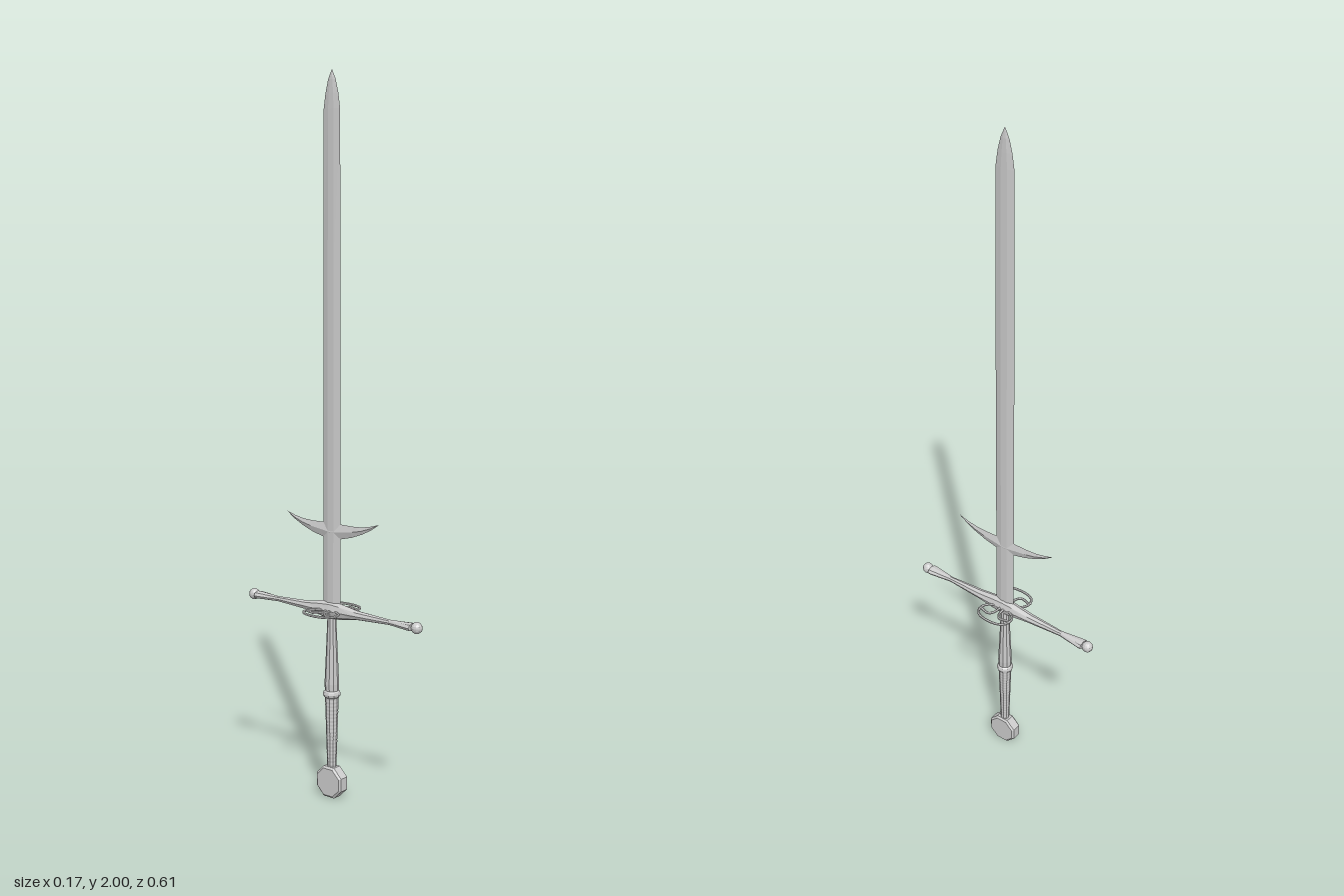
import * as THREE from 'three';

const material = new THREE.MeshStandardMaterial({ color: 0xcccccc, flatShading: true });
const GUARD_Y = 0.54;

// Skins a closed profile of [x, z] along y; each row is [y, scaleX, scaleZ, offsetZ]
function loft(profile, rows) {
  const n = profile.length, pos = [], index = [];
  for (const [y, sx, sz, oz = 0] of rows)
    for (const [px, pz] of profile) pos.push(px * sx, y, pz * sz + oz);
  for (let i = 0; i < rows.length - 1; i++)
    for (let j = 0; j < n; j++) {
      const a = i * n + j, b = i * n + (j + 1) % n;
      index.push(a, a + n, b, b, a + n, b + n);
    }
  const top = (rows.length - 1) * n;
  for (let j = 1; j < n - 1; j++) index.push(0, j, j + 1, top, top + j + 1, top + j);
  const g = new THREE.BufferGeometry();
  g.setAttribute('position', new THREE.Float32BufferAttribute(pos, 3));
  g.setIndex(index);
  const flat = g.toNonIndexed();
  flat.computeVertexNormals();
  return flat;
}

// Mirrors rows given from the middle outward into a full symmetric run
const symmetric = (half) => [
  ...half.slice().reverse().filter((r) => r[0] > 0).map(([p, ...rest]) => [-p, ...rest]),
  ...half,
];

const polygon = (n, turn = 0) => Array.from({ length: n }, (_, i) => {
  const a = ((i + turn) / n) * Math.PI * 2;
  return [Math.cos(a), Math.sin(a)];
});

export function createModel() {
  const group = new THREE.Group();
  const add = (name, geometry, parent = group) => {
    const mesh = new THREE.Mesh(geometry, material);
    mesh.name = name;
    parent.add(mesh);
    return mesh;
  };

  // Blade: flat-faced hexagonal section, curving in to the point
  const bladeProfile = [[1, 0.33], [0, 1], [-1, 0.33], [-1, -0.33], [0, -1], [1, -0.33]];
  add('blade', loft(bladeProfile, [
    [0.53, 0.0065, 0.031], [1.5, 0.0055, 0.03], [1.9, 0.0045, 0.028],
    [1.94, 0.004, 0.022], [1.975, 0.003, 0.013], [2, 0.0004, 0.001],
  ]));

  // Parrying hooks: a thin crescent through the blade
  const hooks = [
    [0, 0.007, 0.736, 0.786], [0.03, 0.006, 0.744, 0.786], [0.07, 0.0045, 0.754, 0.785],
    [0.105, 0.0035, 0.767, 0.787], [0.135, 0.0025, 0.782, 0.793], [0.162, 0.0004, 0.8, 0.801],
  ].map(([z, w, low, high]) => [z, w, (high - low) / 2, -(high + low) / 2]);
  add('parryingHooks', loft(polygon(4), symmetric(hooks))).rotation.x = Math.PI / 2;

  // Crossguard: swollen middle, waisted arms and flared ends
  const guard = new THREE.Group();
  guard.name = 'crossguard';
  guard.position.y = GUARD_Y;
  group.add(guard);
  add('guardArms', loft(polygon(8), symmetric([
    [0, 0.019, 0.026], [0.03, 0.018, 0.023], [0.09, 0.015, 0.013], [0.2, 0.008, 0.0075],
    [0.27, 0.019, 0.011], [0.277, 0.019, 0.011],
  ])), guard).rotation.x = Math.PI / 2;

  for (const s of [1, -1]) {
    const ball = add('guardBall', new THREE.SphereGeometry(0.016, 12, 8), guard);
    ball.position.z = s * 0.291;
  }

  // Side rings with two inward scrolls on each face of the guard
  const tube = (points, steps) => new THREE.TubeGeometry(new THREE.CatmullRomCurve3(
    points.map(([x, z]) => new THREE.Vector3(x, 0, z))), steps, 0.0038, 6, false);
  const arc = [[0.014, 0.02], [0.022, 0.04], [0.036, 0.051], [0.052, 0.053],
    [0.07, 0.044], [0.08, 0.022]];
  const ring = [...arc, ...arc.slice().reverse().map(([x, z]) => [x, -z])];
  const scroll = [[0.012, 0.006], [0.034, 0.007], [0.048, 0.012], [0.055, 0.021],
    [0.053, 0.035], [0.047, 0.052]];
  for (const s of [1, -1]) {
    add('sideRing', tube(ring.map(([x, z]) => [s * x, z]), 22), guard);
    for (const t of [1, -1])
      add('ringScroll', tube(scroll.map(([x, z]) => [s * x, t * z]), 14), guard);
  }

  // Grip: smooth upper taper, collar, and a finely wrapped lower half
  const lathe = (points, sides) => new THREE.LatheGeometry(
    points.map(([r, y]) => new THREE.Vector2(r, y)), sides);
  add('upperGrip', lathe([[0.019, 0.3], [0.0205, 0.33], [0.016, 0.43], [0.012, 0.53]], 10));
  add('gripCollar', lathe([[0.017, 0.288], [0.023, 0.293], [0.025, 0.3],
    [0.023, 0.307], [0.017, 0.313]], 10));
  const wrap = [];
  for (let i = 0; i <= 40; i++) {
    const t = i / 40;
    wrap.push([0.0125 + 0.0065 * t + (i % 2 ? 0.0006 : 0), 0.08 + 0.215 * t]);
  }
  add('lowerGrip', lathe(wrap, 10));

  // Pommel: octagonal disc with slightly bevelled faces
  const pommel = add('pommel', loft(polygon(8, 0.5), symmetric([
    [0.013, 0.048, 0.048], [0.018, 0.042, 0.042],
  ])));
  pommel.rotation.z = Math.PI / 2;
  pommel.position.y = 0.0445;

  return group;
}
